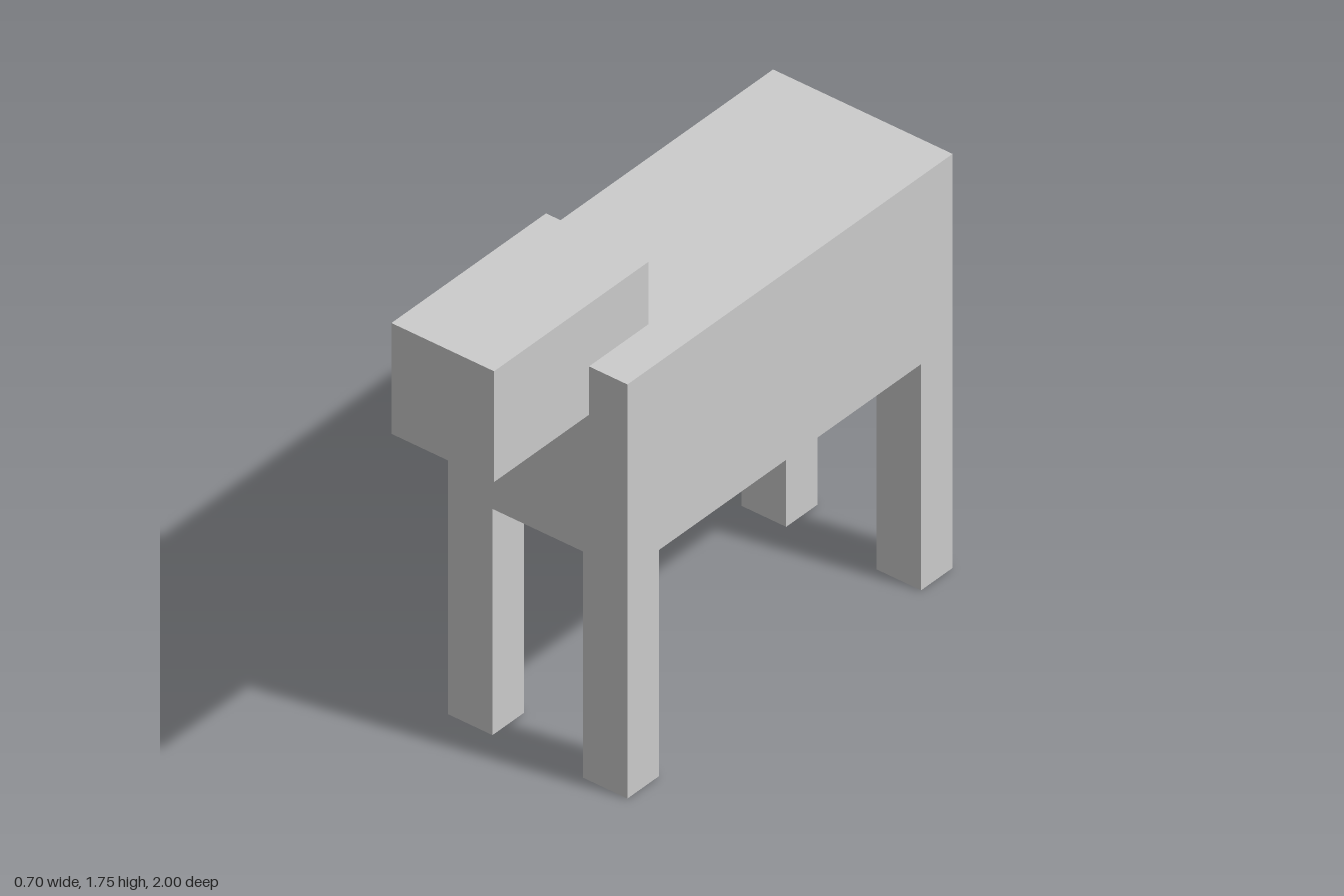
import * as THREE from 'three';

const material = new THREE.MeshStandardMaterial({ color: 0xcccccc, flatShading: true });

// Box given by its [min, max] extents on each axis
function block(name, [x0, x1], [y0, y1], [z0, z1]) {
  const mesh = new THREE.Mesh(new THREE.BoxGeometry(x1 - x0, y1 - y0, z1 - z0), material);
  mesh.position.set((x0 + x1) / 2, (y0 + y1) / 2, (z0 + z1) / 2);
  mesh.name = name;
  return mesh;
}

export function createModel() {
  const model = new THREE.Group();
  model.name = 'blockAnimal';

  const halfWidth = 0.348, belly = 0.833, front = 0.548, back = -1;
  const legWidth = 0.173, legDepth = 0.15;

  // Body and overlapping head
  model.add(block('body', [-halfWidth, halfWidth], [belly, 1.525], [back, front]));
  model.add(block('head', [-0.199, 0.199], [1.347, 1.755], [0.264, 1]));

  // Four legs flush with the body corners
  for (const [side, x] of [['Left', halfWidth - legWidth], ['Right', -halfWidth]]) {
    for (const [end, z] of [['front', front - legDepth], ['back', back]]) {
      model.add(block(`${end}${side}Leg`, [x, x + legWidth], [0, belly], [z, z + legDepth]));
    }
  }
  return model;
}
